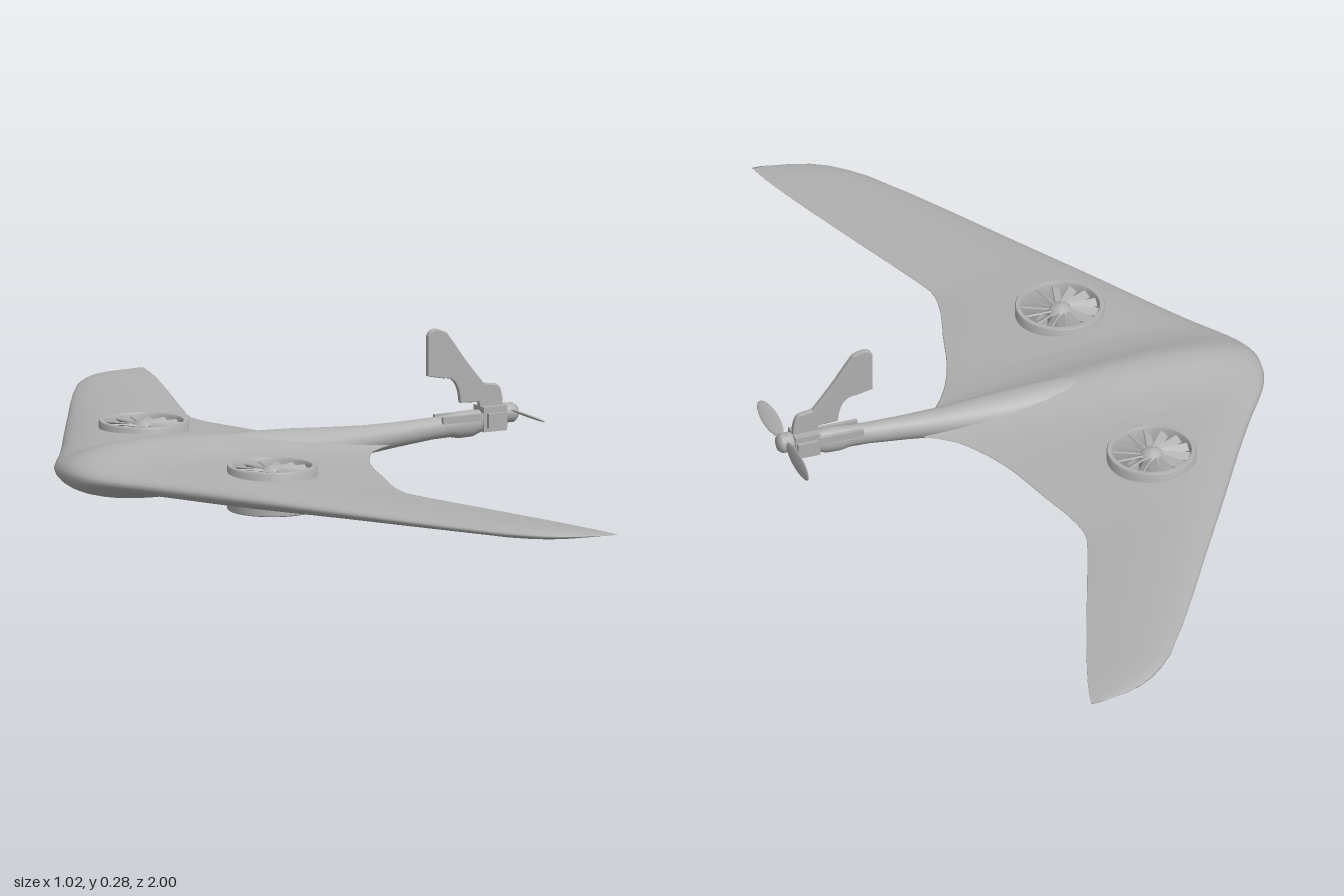
import * as THREE from 'three';
import { mergeVertices, toCreasedNormals } from 'three/addons/utils/BufferGeometryUtils.js';

const grey = new THREE.MeshStandardMaterial({ color: 0xb0b0b0 });
grey.name = 'light grey';

const curve = (table) => {
  const f = new THREE.CubicInterpolant(table.map((p) => p[0]), table.map((p) => p[1]), 1);
  return (v) => f.evaluate(v)[0];
};

// Planform and thickness as functions of distance from the centreline
const leading = curve([[-0.1, -0.48], [-0.05, -0.502], [0, -0.51], [0.05, -0.502], [0.1, -0.48], [0.16, -0.44],
  [0.24, -0.39], [0.42, -0.285], [0.59, -0.185], [0.84, -0.035], [0.926, 0.03], [0.98, 0.11], [1, 0.185]]);
const trailing = curve([[-0.03, 0.2], [0, 0.24], [0.03, 0.2], [0.053, 0.165], [0.1, 0.127], [0.18, 0.087],
  [0.3, 0.052], [0.4, 0.024], [0.455, 0.02], [0.52, 0.041], [0.6, 0.07], [0.79, 0.14], [0.95, 0.193], [1, 0.205]]);
const thickness = curve([[0, 0.03], [0.3, 0.028], [0.5, 0.02], [0.8, 0.012], [0.95, 0.008], [1, 0]]);
const foil = (t) => 10 * (0.2969 * Math.sqrt(t) - 0.126 * t - 0.3516 * t ** 2 + 0.2843 * t ** 3 - 0.1036 * t ** 4);

const FAN_X = -0.185, FAN_Z = 0.27, HOLE = 0.084;

// Height of the skin at a point; side is 1 for the top, -1 for the bottom
function skin(x, z, side) {
  const d = Math.abs(z);
  const t = THREE.MathUtils.clamp((x - leading(d)) / (trailing(d) - leading(d)), 0, 1);
  const half = thickness(d) + 0.03 * Math.exp(-((d / 0.075) ** 2));
  return 0.063 - 0.015 * d + side * half * Math.max(0, foil(t));
}

// Blended wing and body, with a round hole left in each wing for a lift fan
function wingGeometry() {
  const half = [0.02, 0.04, 0.065, 0.09, 0.13, 0.165, 0.2, 0.235, 0.27, 0.305, 0.34, 0.375, 0.41, 0.435, 0.46,
    0.5, 0.55, 0.6, 0.7, 0.8, 0.85, 0.89, 0.925, 0.95, 0.97, 0.985, 0.995, 1];
  const rows = [...half.map((z) => -z).reverse(), 0, ...half];
  const N = 24, I0 = 5, I1 = 17;
  const blocks = [[-0.41, -0.13], [0.13, 0.41]].map((b) => b.map((z) => rows.indexOf(z)));
  const node = (i, j) => {
    const z = rows[j], d = Math.abs(z), t = (1 - Math.cos((Math.PI * i) / N)) / 2;
    return [THREE.MathUtils.lerp(leading(d), trailing(d), t), z];
  };
  const pos = [];
  const quad = (a, b, c, d) => {
    for (const p of [a, b, c, a, c, d]) pos.push(p[0], skin(p[0], p[1], 1), p[1]);
    for (const p of [a, c, b, a, d, c]) pos.push(p[0], skin(p[0], p[1], -1), p[1]);
  };
  for (let j = 0; j < rows.length - 1; j++) {
    for (let i = 0; i < N; i++) {
      if (i >= I0 && i < I1 && blocks.some(([a, b]) => j >= a && j < b)) continue;
      quad(node(i, j), node(i, j + 1), node(i + 1, j + 1), node(i + 1, j));
    }
  }
  for (const [j0, j1] of blocks) {
    const cz = Math.sign(rows[j0]) * FAN_Z, loop = [];
    for (let i = I0; i < I1; i++) loop.push(node(i, j0));
    for (let j = j0; j < j1; j++) loop.push(node(I1, j));
    for (let i = I1; i > I0; i--) loop.push(node(i, j1));
    for (let j = j1; j > j0; j--) loop.push(node(I0, j));
    const at = (k, s) => {
      const [x, z] = loop[k % loop.length];
      if (s === 1) return [x, z];
      const dx = x - FAN_X, dz = z - cz, r = HOLE / Math.hypot(dx, dz);
      const m = r + (1 - r) * s;
      return [FAN_X + dx * m, cz + dz * m];
    };
    for (let k = 0; k < loop.length; k++) {
      for (let s = 0; s < 4; s++) quad(at(k, s / 4), at(k + 1, s / 4), at(k + 1, (s + 1) / 4), at(k, (s + 1) / 4));
    }
  }
  let g = new THREE.BufferGeometry();
  g.setAttribute('position', new THREE.Float32BufferAttribute(pos, 3));
  g = mergeVertices(g, 1e-5);
  g.computeVertexNormals();
  return g;
}

// Loft of ellipses along x; each section is [x, centre y, half height, half width]
function loft(sections, n = 24) {
  const pos = [], index = [];
  for (const [x, y, ry, rz] of sections) {
    for (let k = 0; k < n; k++) {
      const a = (k / n) * Math.PI * 2;
      pos.push(x, y + ry * Math.cos(a), rz * Math.sin(a));
    }
  }
  for (let s = 0; s < sections.length - 1; s++) {
    for (let k = 0; k < n; k++) {
      const a = s * n + k, b = s * n + ((k + 1) % n);
      index.push(a, b, b + n, a, b + n, a + n);
    }
  }
  const g = new THREE.BufferGeometry();
  g.setAttribute('position', new THREE.Float32BufferAttribute(pos, 3));
  g.setIndex(index);
  g.computeVertexNormals();
  return g;
}

function add(parent, name, geometry, x = 0, y = 0, z = 0) {
  const m = new THREE.Mesh(geometry, grey);
  m.name = name;
  m.position.set(x, y, z);
  parent.add(m);
  return m;
}

// Ducted lift fan: ring, hub and a bladed rotor near each opening
function liftFan(name) {
  const fan = new THREE.Group();
  fan.name = name;
  const ring = [[0.09, 0.014], [0.09, 0.098], [0.088, 0.101], [0.08, 0.101], [0.077, 0.096],
    [0.077, 0.018], [0.08, 0.012], [0.088, 0.012], [0.09, 0.014]].map((p) => new THREE.Vector2(...p));
  add(fan, 'ductRing', toCreasedNormals(new THREE.LatheGeometry(ring, 48), 0.6));
  const hub = [[0, 0.012], [0.014, 0.015], [0.023, 0.024], [0.025, 0.03], [0.025, 0.084], [0.023, 0.09],
    [0.014, 0.099], [0, 0.102]].map((p) => new THREE.Vector2(...p));
  add(fan, 'fanHub', new THREE.LatheGeometry(hub, 24));
  const blade = new THREE.BoxGeometry(0.058, 0.003, 0.018);
  blade.translate(0.05, 0, 0);
  for (const [y, pitch] of [[0.088, 0.6], [0.026, -0.6]]) {
    for (let i = 0; i < 14; i++) {
      const b = add(fan, 'fanBlade', blade, 0, y, 0);
      b.rotation.set(pitch, (i / 14) * Math.PI * 2, 0, 'YXZ');
    }
  }
  return fan;
}

export function createModel() {
  const model = new THREE.Group();
  model.name = 'flyingWingAircraft';
  add(model, 'wingAndBody', wingGeometry());

  for (const side of [1, -1]) {
    const fan = liftFan(side > 0 ? 'liftFanA' : 'liftFanB');
    fan.position.set(FAN_X, 0, side * FAN_Z);
    model.add(fan);
  }

  // Tail boom, growing out of the body and ending in a swollen collar
  add(model, 'tailBoom', loft([[-0.25, 0.063, 0.045, 0.04], [-0.1, 0.065, 0.05, 0.048], [0, 0.067, 0.045, 0.046],
    [0.1, 0.07, 0.036, 0.038], [0.17, 0.074, 0.029, 0.03], [0.24, 0.078, 0.025, 0.024], [0.32, 0.083, 0.022, 0.02],
    [0.36, 0.085, 0.023, 0.019], [0.38, 0.085, 0.027, 0.021], [0.41, 0.086, 0.027, 0.021],
    [0.43, 0.089, 0.022, 0.019], [0.45, 0.09, 0.018, 0.016], [0.47, 0.09, 0.001, 0.001]]));

  // Tail fin
  const fin = new THREE.Shape();
  fin.moveTo(0.31, 0.19);
  fin.lineTo(0.31, 0.272);
  fin.quadraticCurveTo(0.32, 0.294, 0.352, 0.276);
  fin.quadraticCurveTo(0.372, 0.25, 0.385, 0.23);
  fin.quadraticCurveTo(0.415, 0.19, 0.437, 0.165);
  fin.lineTo(0.465, 0.161);
  fin.quadraticCurveTo(0.479, 0.155, 0.479, 0.11);
  fin.lineTo(0.43, 0.1);
  fin.lineTo(0.425, 0.128);
  fin.lineTo(0.383, 0.13);
  fin.quadraticCurveTo(0.38, 0.185, 0.345, 0.183);
  fin.closePath();
  add(model, 'tailFin', new THREE.ExtrudeGeometry(fin, {
    depth: 0.008, bevelEnabled: true, bevelSize: 0.002, bevelOffset: -0.002, bevelThickness: 0.002, bevelSegments: 2,
  }), 0, 0, -0.004);

  // Motor mount with side rails
  add(model, 'motorMount', new THREE.BoxGeometry(0.052, 0.05, 0.044), 0.453, 0.094, 0);
  for (const s of [1, -1]) {
    add(model, 'mountRail', new THREE.BoxGeometry(0.1, 0.014, 0.008), 0.385, 0.1, s * 0.018);
    add(model, 'mountClamp', new THREE.BoxGeometry(0.042, 0.03, 0.008), 0.455, 0.092, s * 0.026);
  }

  // Pusher propeller
  const propeller = new THREE.Group();
  propeller.name = 'propeller';
  propeller.position.set(0.496, 0.1, 0);
  const spinner = [[0, -0.025], [0.014, -0.025], [0.02, -0.012], [0.02, 0.006], [0.014, 0.014], [0, 0.016]];
  add(propeller, 'spinner', new THREE.LatheGeometry(spinner.map((p) => new THREE.Vector2(...p)), 20)).rotation.z = -Math.PI / 2;
  const blade = new THREE.SphereGeometry(1, 20, 12);
  for (const [s, pitch] of [[1, 1.15], [-1, 0.25]]) {
    const b = add(propeller, 'propellerBlade', blade, 0, 0.006, s * 0.08);
    b.scale.set(0.003, 0.017, 0.066);
    b.rotation.z = pitch;
  }
  model.add(propeller);
  return model;
}
